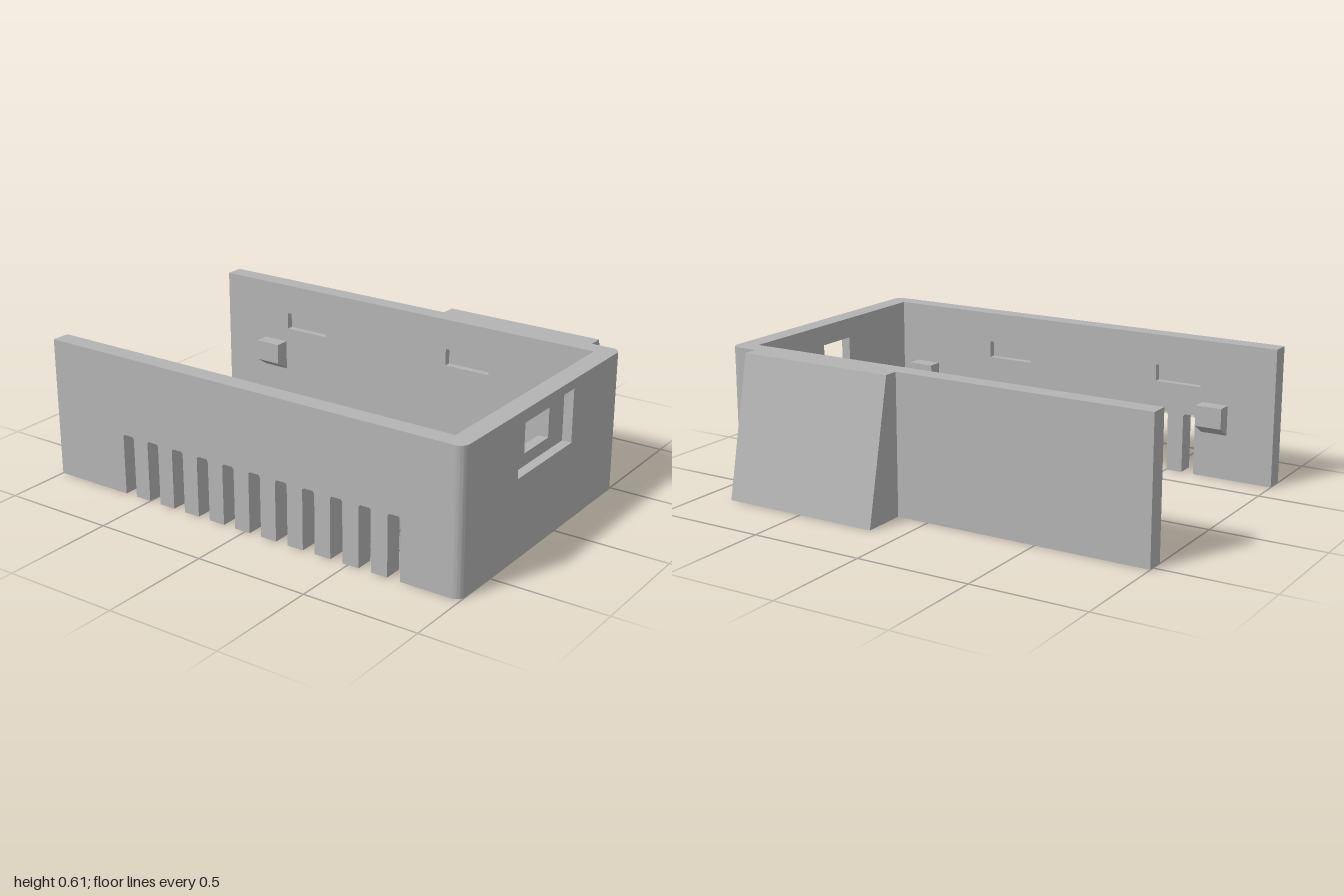
import * as THREE from 'three';
import { toCreasedNormals } from 'three/addons/utils/BufferGeometryUtils.js';

const H = 0.61;                       // wall height
const T = 0.08;                       // wall thickness
const FRONT = 0.715, BACK = -0.525;   // outer wall faces
const SIDE_IN = 0.915, SIDE_OUT = 1;  // side wall faces

function polygon(points) {
  return new THREE.Shape(points.map(([x, y]) => new THREE.Vector2(x, y)));
}
function rect(x0, x1, y0, y1) {
  return [[x0, y0], [x1, y0], [x1, y1], [x0, y1]];
}
function extrude(shape, depth) {
  return new THREE.ExtrudeGeometry(shape, { depth, bevelEnabled: false, curveSegments: 8 });
}
// profile in (x, y), from z0 to z1
function alongZ(shape, z0, z1) {
  return extrude(shape, z1 - z0).translate(0, 0, z0);
}
// profile in (z, y), from x0 to x1
function alongX(shape, x0, x1) {
  return extrude(shape, x1 - x0).rotateY(-Math.PI / 2).translate(x1, 0, 0);
}

export function createModel() {
  const model = new THREE.Group();
  model.name = 'enclosureHalf';
  const grey = new THREE.MeshStandardMaterial({ color: 0xb4b4b4 });
  grey.name = 'grey plastic';

  const add = (name, geometry) => {
    const mesh = new THREE.Mesh(geometry, grey);
    mesh.name = name;
    model.add(mesh);
  };

  // Long wall outline, optionally with vent slots open at the bottom
  const wallShape = (vented, recessed) => {
    const pts = [[-1, 0]];
    if (vented) {
      for (let i = 0; i < 11; i++) {
        const a = -0.633 + i * 0.1313, b = a + 0.057, top = 0.267, c = 0.008;
        pts.push([a, 0], [a, top - c], [a + c, top], [b - c, top], [b, top - c], [b, 0]);
      }
    }
    pts.push([SIDE_IN, 0], [SIDE_IN, H], [-1, H]);
    const shape = polygon(pts);
    if (recessed) {
      for (const x of [-0.655, 0.207]) shape.holes.push(polygon(rect(x, x + 0.217, 0.4, 0.475)));
    }
    return shape;
  };

  // Long walls in two layers, so the inner latch recesses are blind
  const R = 0.03;
  add('frontWallOuter', alongZ(wallShape(true, false), FRONT - T + R, FRONT));
  add('frontWallInner', alongZ(wallShape(true, true), FRONT - T, FRONT - T + R));
  add('backWallOuter', alongZ(wallShape(false, false), BACK, BACK + T - R));
  add('backWallInner', alongZ(wallShape(false, true), BACK + T - R, BACK + T));

  // Side wall with a stepped port opening
  const sideLayer = (hole) => {
    const shape = polygon(rect(BACK + T, FRONT - T, 0, H));
    shape.holes.push(polygon(hole));
    return shape;
  };
  const step = 0.042;
  add('sideWallOuter', alongX(sideLayer(rect(-0.115, 0.315, 0.34, 0.57)), SIDE_OUT - step, SIDE_OUT));
  add('sideWallInner', alongX(sideLayer(rect(0.005, 0.195, 0.393, 0.52)), SIDE_IN, SIDE_OUT - step));

  // Rounded corners joining the walls
  const r = 0.04;
  const corner = (name, inner, outer, s) => {
    const shape = new THREE.Shape();
    shape.moveTo(SIDE_IN, inner);
    shape.lineTo(SIDE_OUT, inner);
    shape.lineTo(SIDE_OUT, outer - s * r);
    shape.absarc(SIDE_OUT - r, outer - s * r, r, 0, s * Math.PI / 2, s < 0);
    shape.lineTo(SIDE_IN, outer);
    shape.closePath();
    const geometry = extrude(shape, H).rotateX(Math.PI / 2).translate(0, H, 0);
    add(name, toCreasedNormals(geometry, 0.5));
  };
  corner('frontCorner', FRONT - T, FRONT, 1);
  corner('backCorner', BACK + T, BACK, -1);

  // Sloped block on the back wall
  add('backWedge', alongX(polygon([[BACK, 0], [BACK, H], [-0.59, H], [-0.72, 0]]), 0.145, 0.865));

  // Four inner clips with slanted undersides
  for (const [side, wall, s] of [['front', FRONT - T, -1], ['back', BACK + T, 1]]) {
    for (const [end, x] of [['Right', -0.785], ['Left', 0.715]]) {
      const tip = wall + s * 0.067;
      const profile = polygon([[wall, 0.2], [tip, 0.243], [tip, 0.335], [wall, 0.335]]);
      add(`${side}Clip${end}`, alongX(profile, x, x + 0.12));
    }
  }
  return model;
}
